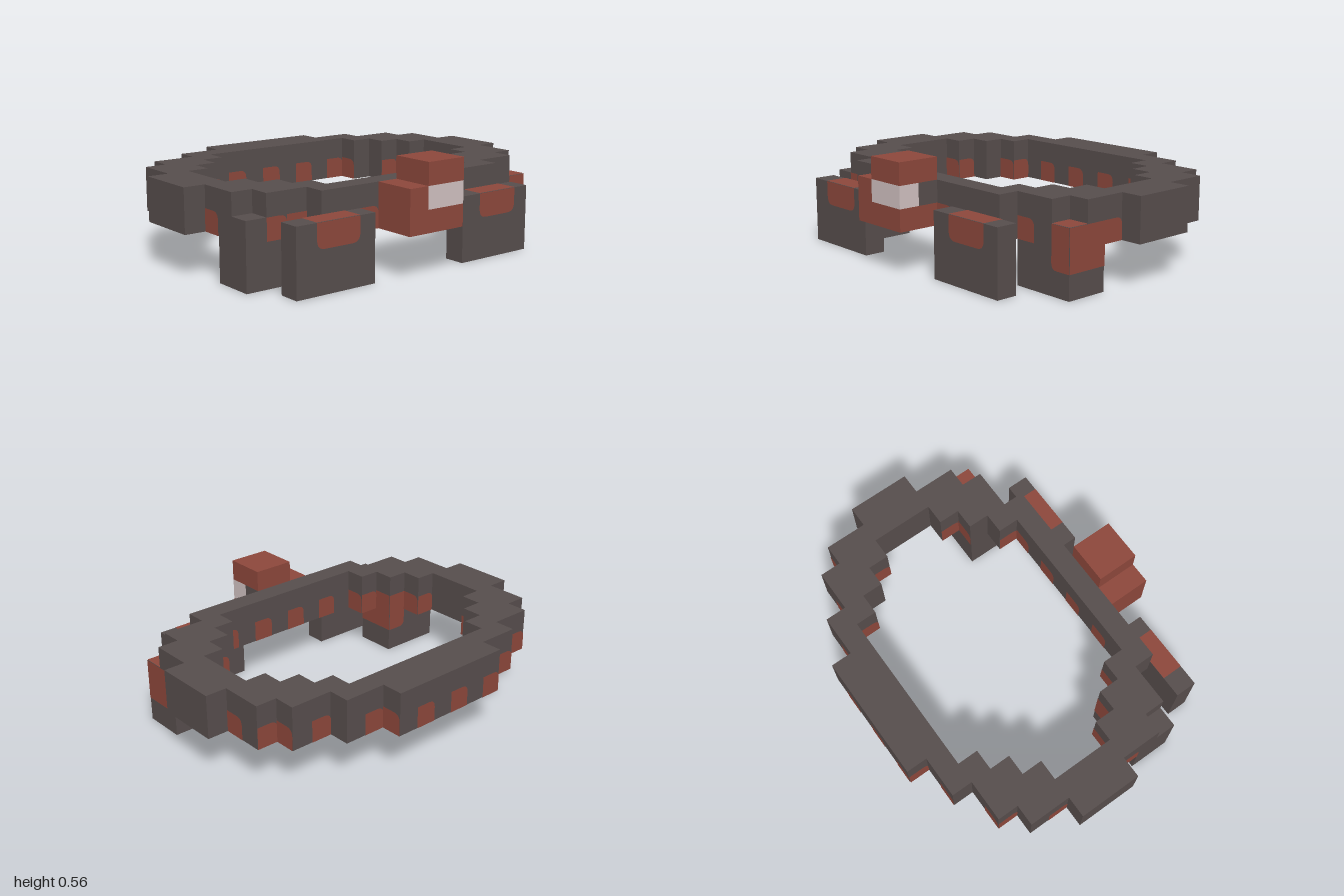
import * as THREE from 'three';

const dark = new THREE.MeshStandardMaterial({ color: 0x564d4c });
dark.name = 'dark leather';
const red = new THREE.MeshStandardMaterial({ color: 0x8c473b });
red.name = 'red leather';
const pale = new THREE.MeshStandardMaterial({ color: 0xcfc0c0 });
pale.name = 'pale metal';

const GAP = 0.02; // lift of painted plates, in blocks

// Box from its lower and upper corners, in blocks
function block(name, mat, [x0, y0, z0], [x1, y1, z1]) {
  const mesh = new THREE.Mesh(new THREE.BoxGeometry(x1 - x0, y1 - y0, z1 - z0), mat);
  mesh.position.set((x0 + x1) / 2, (y0 + y1) / 2, (z0 + z1) / 2);
  mesh.name = name;
  return mesh;
}

// Flat plate facing +z, centred, with a radius for each corner
function plate(name, w, h, bl, br, tr, tl) {
  const s = new THREE.Shape(), x = w / 2, y = h / 2;
  s.moveTo(-x + bl, -y);
  s.lineTo(x - br, -y);
  s.quadraticCurveTo(x, -y, x, -y + br);
  s.lineTo(x, y - tr);
  s.quadraticCurveTo(x, y, x - tr, y);
  s.lineTo(-x + tl, y);
  s.quadraticCurveTo(-x, y, -x, y - tl);
  s.lineTo(-x, -y + bl);
  s.quadraticCurveTo(-x, -y, -x + bl, -y);
  const mesh = new THREE.Mesh(new THREE.ShapeGeometry(s, 5), red);
  mesh.name = name;
  return mesh;
}

// Stepped outlines, given for the +x half from back to front as [x, z]
const outerHalf = [[3, -7], [3, -6], [5, -6], [5, -5], [7, -5], [7, -4], [8, -4], [8, -2], [9, -2],
  [9, 1], [8, 1], [8, 3], [7, 3], [7, 4], [5, 4], [5, 5]];
const innerHalf = [[4, -5], [4, -4], [5, -4], [5, -3], [6, -3], [6, -2], [7, -2],
  [7, 1], [6, 1], [6, 2], [5, 2], [5, 3], [4, 3], [4, 4]];
const mirrored = half => [...half, ...half.slice().reverse().map(([x, z]) => [-x, z])];

function makeBelt() {
  const belt = new THREE.Group();
  belt.name = 'belt';
  const outer = mirrored(outerHalf), inner = mirrored(innerHalf);
  const toVec = ([x, z]) => new THREE.Vector2(x, z);
  const shape = new THREE.Shape(outer.map(toVec));
  shape.holes.push(new THREE.Path(inner.map(toVec)));
  const geo = new THREE.ExtrudeGeometry(shape, { depth: 2, bevelEnabled: false });
  geo.rotateX(Math.PI / 2).translate(0, 4, 0);
  const band = new THREE.Mesh(geo, dark);
  band.name = 'band';
  belt.add(band);

  // Red patches on every other block along the lower half of each wall
  for (const [pts, side] of [[outer, 1], [inner, -1]]) {
    pts.forEach(([x0, z0], i) => {
      const [x1, z1] = pts[(i + 1) % pts.length];
      const len = Math.abs(x1 - x0) + Math.abs(z1 - z0);
      const dx = (x1 - x0) / len, dz = (z1 - z0) / len;
      const nx = dz * side, nz = -dx * side;
      for (let k = 0; k < len; k++) {
        const cx = x0 + dx * (k + 0.5), cz = z0 + dz * (k + 0.5);
        const index = Math.floor(dx ? cx : cz);
        const endBlock = Math.abs(cx) > 8 || (Math.abs(cx) === 7 && cz > -2 && cz < 1);
        if (index % 2 === 0 || endBlock) continue;
        const p = plate('beltPatch', 1, 1, 0, 0, 0.35, 0);
        p.position.set(cx + nx * GAP, 2.5, cz + nz * GAP);
        p.rotation.y = Math.atan2(nx, nz);
        belt.add(p);
      }
    });
  }

  // Red underside of the front strip and of one back corner
  const undersides = [[-5, 5, 4, 5], [-7, -4, -5, -4], [-8, -5, -4, -3], [-8, -6, -3, -2]];
  for (const [x0, x1, z0, z1] of undersides) {
    const p = plate('beltUnderside', x1 - x0, z1 - z0, 0, 0, 0, 0);
    p.rotation.x = Math.PI / 2;
    p.position.set((x0 + x1) / 2, 2 - GAP, (z0 + z1) / 2);
    belt.add(p);
  }
  return belt;
}

// Front pouch with a strap over its top edge
function makeFrontPouch(x) {
  const pouch = new THREE.Group();
  pouch.name = 'frontPouch';
  pouch.add(block('pouchBody', dark, [0, 0, 5], [4, 3, 6]));
  const front = plate('pouchStrapFront', 2.2, 1.1, 0.4, 0.4, 0, 0);
  front.position.set(2.1, 2.45, 6 + GAP);
  const top = plate('pouchStrapTop', 2.2, 1, 0, 0, 0, 0);
  top.rotation.x = -Math.PI / 2;
  top.position.set(2.1, 3 + GAP, 5.5);
  pouch.add(front, top);
  pouch.position.x = x;
  return pouch;
}

// Side pouch with a strap around its +x end
function makeSidePouch(x) {
  const pouch = new THREE.Group();
  pouch.name = 'sidePouch';
  pouch.add(block('pouchBody', dark, [0, 0, 2 + GAP], [3, 3, 4]));
  const front = plate('pouchStrapFront', 1, 1.9, 0.3, 0, 0, 0);
  front.position.set(2.5, 2.05, 4 + GAP);
  const back = plate('pouchStrapBack', 1, 1.9, 0, 0.3, 0, 0);
  back.rotation.y = Math.PI;
  back.position.set(2.5, 2.05, 2 - GAP);
  const end = plate('pouchStrapEnd', 2, 1.9, 0, 0, 0, 0);
  end.rotation.y = Math.PI / 2;
  end.position.set(3 + GAP, 2.05, 3);
  const top = plate('pouchStrapTop', 1, 1, 0, 0, 0, 0);
  top.rotation.x = -Math.PI / 2;
  top.position.set(2.5, 3 + GAP, 3.5);
  pouch.add(front, back, end, top);
  pouch.position.x = x;
  return pouch;
}

function makeBuckle() {
  const buckle = new THREE.Group();
  buckle.name = 'buckle';
  buckle.add(
    block('buckleBase', red, [-2, 2, 5], [1, 3, 7]),
    block('buckleSide', red, [-2, 3, 5], [-1, 4, 7]),
    block('buckleBacking', dark, [-1, 3, 5], [1, 4, 6]),
    block('bucklePlate', pale, [-1, 3, 6], [1, 4, 7]),
    block('buckleCap', red, [-1, 4, 5], [1, 5, 7]),
  );
  return buckle;
}

export function createModel() {
  const blocks = new THREE.Group();
  blocks.name = 'utilityBelt';
  blocks.add(makeBelt(), makeBuckle());
  for (const x of [-7, 2]) blocks.add(makeFrontPouch(x));
  for (const x of [-8, 5]) blocks.add(makeSidePouch(x));
  blocks.scale.setScalar(1 / 9);
  const model = new THREE.Group();
  model.add(blocks);
  return model;
}
